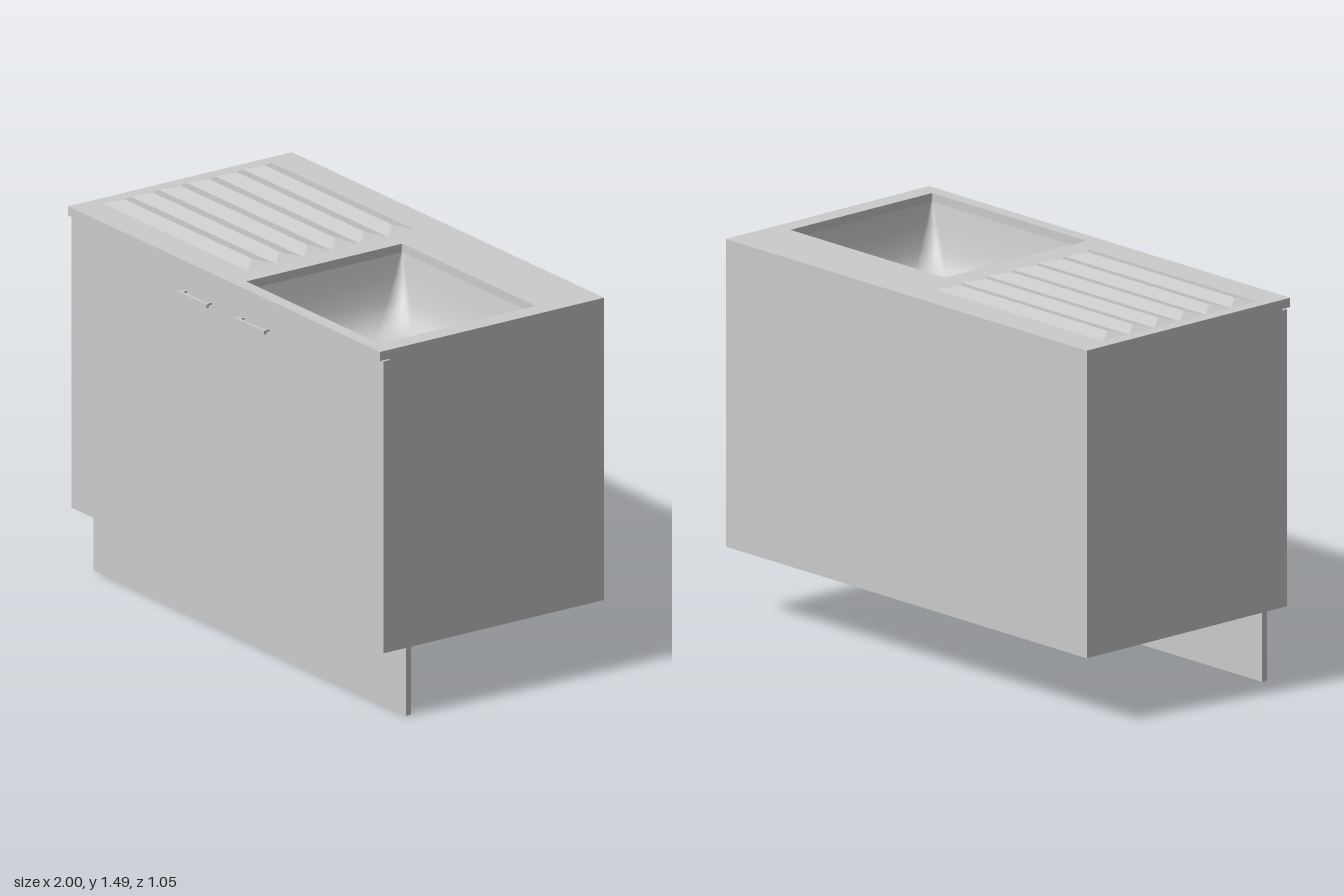
import * as THREE from 'three';

const grey = new THREE.MeshStandardMaterial({ color: 0xcccccc });
const greyDouble = new THREE.MeshStandardMaterial({ color: 0xcccccc, side: THREE.DoubleSide });

function add(parent, name, geometry, material = grey) {
  const mesh = new THREE.Mesh(geometry, material);
  mesh.name = name;
  parent.add(mesh);
  return mesh;
}

// Box given by its minimum and maximum corners
function box(parent, name, [x0, y0, z0], [x1, y1, z1]) {
  const mesh = add(parent, name, new THREE.BoxGeometry(x1 - x0, y1 - y0, z1 - z0));
  mesh.position.set((x0 + x1) / 2, (y0 + y1) / 2, (z0 + z1) / 2);
  return mesh;
}

// Rounded rectangle as a loop of [x, z] around the origin
function roundedLoop(halfW, halfD, r, steps = 6) {
  const loop = [];
  for (let q = 0; q < 4; q++) {
    const sx = q === 0 || q === 3 ? 1 : -1;
    const sz = q < 2 ? 1 : -1;
    for (let i = 0; i <= steps; i++) {
      const a = (q + i / steps) * Math.PI / 2;
      loop.push([sx * (halfW - r) + r * Math.cos(a), sz * (halfD - r) + r * Math.sin(a)]);
    }
  }
  return loop;
}

// Bowl skin lofted through rings of [halfWidth, halfDepth, cornerRadius, y]
function bowlGeometry(rings) {
  const pos = [], index = [];
  let n = 0;
  rings.forEach(([w, d, r, y]) => {
    const loop = roundedLoop(w, d, r);
    n = loop.length;
    loop.forEach(([x, z]) => pos.push(x, y, z));
  });
  for (let i = 0; i < rings.length - 1; i++) {
    for (let j = 0; j < n; j++) {
      const a = i * n + j, b = i * n + (j + 1) % n;
      index.push(a, a + n, b, b, a + n, b + n);
    }
  }
  const g = new THREE.BufferGeometry();
  g.setAttribute('position', new THREE.Float32BufferAttribute(pos, 3));
  g.setIndex(index);
  g.computeVertexNormals();
  return g;
}

// Hipped ridge: rectangular base rising to a single top edge
function ridgeGeometry() {
  const p = [
    [-0.95, 0, 0.065], [-0.02, 0, 0.065], [-0.02, 0, -0.065], [-0.95, 0, -0.065],
    [-0.9, 0.017, 0], [-0.09, 0.017, 0],
  ];
  const faces = [0, 1, 5, 0, 5, 4, 2, 3, 4, 2, 4, 5, 1, 2, 5, 3, 0, 4];
  const g = new THREE.BufferGeometry();
  g.setAttribute('position', new THREE.Float32BufferAttribute(faces.flatMap((i) => p[i]), 3));
  g.computeVertexNormals();
  return g;
}

export function createModel() {
  const model = new THREE.Group();
  model.name = 'sinkCabinet';

  // Carcass panels, open on top for the bowl
  const carcass = new THREE.Group();
  carcass.name = 'carcass';
  model.add(carcass);
  const t = 0.025, y0 = 0.27, y1 = 1.436, back = -0.525, front = 0.465;
  box(carcass, 'bottomPanel', [-1, y0, back], [1, y0 + t, front]);
  box(carcass, 'backPanel', [-1, y0 + t, back], [1, y1, back + t]);
  for (const s of [-1, 1]) {
    const side = box(carcass, s > 0 ? 'leftPanel' : 'rightPanel',
      [1 - t, y0 + t, back + t], [1, y1, front]);
    side.position.x *= s;
  }

  // Plinth board set back under the doors
  box(model, 'plinth', [-1, 0, 0.365], [1, y0, 0.39]);

  // Two doors meeting in the middle, each with a bar handle
  for (const s of [-1, 1]) {
    const side = s > 0 ? 'left' : 'right';
    box(model, side + 'Door', [Math.min(0, s), y0, front], [Math.max(0, s), 1.43, 0.492]);
    const handle = new THREE.Group();
    handle.name = side + 'Handle';
    handle.position.set(s * 0.183, 1.342, 0);
    box(handle, 'bar', [-0.097, -0.007, 0.515], [0.097, 0.007, 0.526]);
    for (const x of [-0.08, 0.08]) {
      box(handle, 'post', [x - 0.005, -0.004, 0.49], [x + 0.005, 0.004, 0.517]);
    }
    model.add(handle);
  }

  // Worktop with the bowl opening (shape y becomes -z)
  const top = new THREE.Shape([
    new THREE.Vector2(-1, -0.508), new THREE.Vector2(1, -0.508),
    new THREE.Vector2(1, 0.525), new THREE.Vector2(-1, 0.525),
  ]);
  const cx = 0.497, cz = 0.095, hw = 0.428, hd = 0.36;
  top.holes.push(new THREE.Path(
    roundedLoop(hw, hd, 0.006, 3).map(([x, z]) => new THREE.Vector2(cx + x, -cz - z)).reverse()));
  const topGeometry = new THREE.ExtrudeGeometry(top, { depth: 0.036, bevelEnabled: false });
  topGeometry.rotateX(-Math.PI / 2);
  add(model, 'worktop', topGeometry).position.y = 1.435;

  // Sink bowl with softly rounded floor
  const sink = new THREE.Group();
  sink.name = 'sink';
  sink.position.set(cx, 1.437, cz);
  model.add(sink);
  add(sink, 'bowl', bowlGeometry([
    [hw, hd, 0.006, 0],
    [hw - 0.012, hd - 0.012, 0.03, -0.08],
    [hw - 0.03, hd - 0.03, 0.06, -0.17],
    [hw - 0.06, hd - 0.06, 0.08, -0.23],
    [hw - 0.11, hd - 0.11, 0.1, -0.265],
    [hw - 0.2, hd - 0.19, 0.11, -0.285],
    [0.066, 0.066, 0.066, -0.3],
  ]), greyDouble);
  add(sink, 'drain', new THREE.CylinderGeometry(0.066, 0.066, 0.01, 32)).position.y = -0.303;

  // Draining board ridges
  const ridge = ridgeGeometry();
  for (let i = 0; i < 6; i++) {
    add(model, 'drainerRidge', ridge).position.set(0, 1.471, 0.318 - i * 0.1295);
  }

  return model;
}
